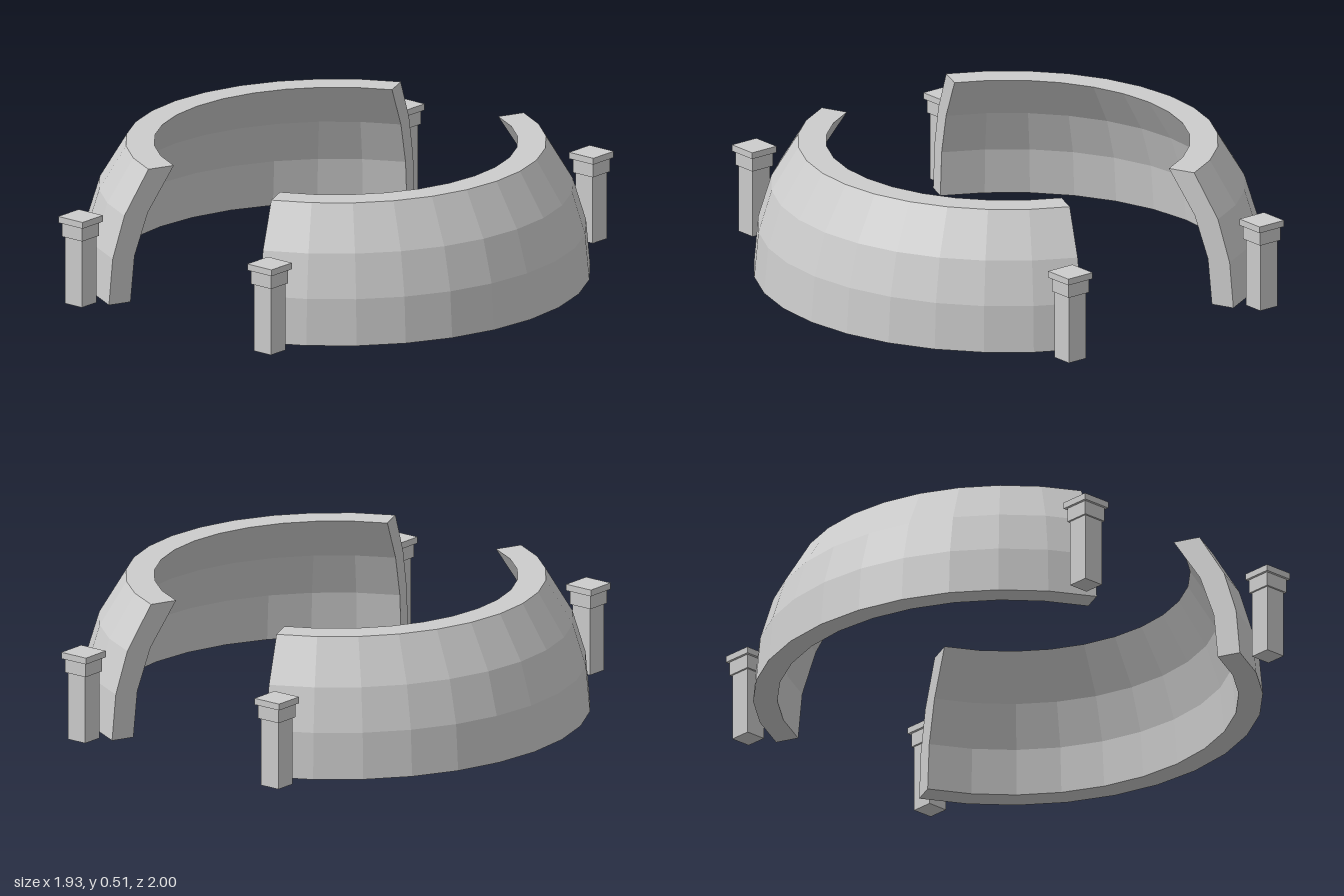
import * as THREE from 'three';
import { mergeGeometries } from 'three/addons/utils/BufferGeometryUtils.js';

const stone = new THREE.MeshStandardMaterial({ color: 0xcccccc, flatShading: true });
stone.name = 'pale stone';

// Wall cross-section (radius, height): up the outside, down the inside
const PROFILE = [
  [0.966, 0], [0.95, 0.18], [0.9, 0.345], [0.798, 0.515],
  [0.69, 0.515], [0.8, 0.345], [0.857, 0.18], [0.874, 0],
].map(([r, y]) => new THREE.Vector2(r, y));
const START = Math.PI / 8, SWEEP = Math.PI * 0.75, SEGMENTS = 12;

// Flat end face of the wall at a given angle
function endFace(angle, flip) {
  const face = new THREE.ShapeGeometry(new THREE.Shape(PROFILE));
  face.rotateY(angle - Math.PI / 2);
  if (flip) face.index.array.reverse();
  return face;
}

// Curved, inward-leaning wall covering one side of the ring
function wallGeometry() {
  const sweep = new THREE.LatheGeometry([...PROFILE, PROFILE[0]], SEGMENTS, START, SWEEP);
  const parts = [sweep, endFace(START, false), endFace(START + SWEEP, true)];
  const wall = mergeGeometries(parts.map((g) => g.toNonIndexed()));
  wall.computeVertexNormals();
  return wall;
}

// Square post with a stepped cap
function createPillar(x, z) {
  const pillar = new THREE.Group();
  const tiers = [
    ['pillarShaft', 0.085, 0, 0.265],
    ['pillarNeck', 0.1, 0.265, 0.32],
    ['pillarCap', 0.12, 0.32, 0.345],
  ];
  for (const [name, width, bottom, top] of tiers) {
    const tier = new THREE.Mesh(new THREE.BoxGeometry(width, top - bottom, width), stone);
    tier.name = name;
    tier.position.y = (bottom + top) / 2;
    pillar.add(tier);
  }
  pillar.position.set(x, 0, z);
  return pillar;
}

export function createModel() {
  const model = new THREE.Group();
  model.name = 'splitRingWall';

  // Two facing walls
  const geometry = wallGeometry();
  for (const [name, turn] of [['leftWall', 0], ['rightWall', Math.PI]]) {
    const wall = new THREE.Mesh(geometry, stone);
    wall.name = name;
    wall.rotation.y = turn;
    model.add(wall);
  }

  // A pillar beside each wall end
  for (const sx of [1, -1]) {
    for (const sz of [1, -1]) {
      const pillar = createPillar(sx * 0.47, sz * 0.94);
      pillar.name = (sz > 0 ? 'front' : 'back') + (sx > 0 ? 'Left' : 'Right') + 'Pillar';
      model.add(pillar);
    }
  }
  return model;
}
